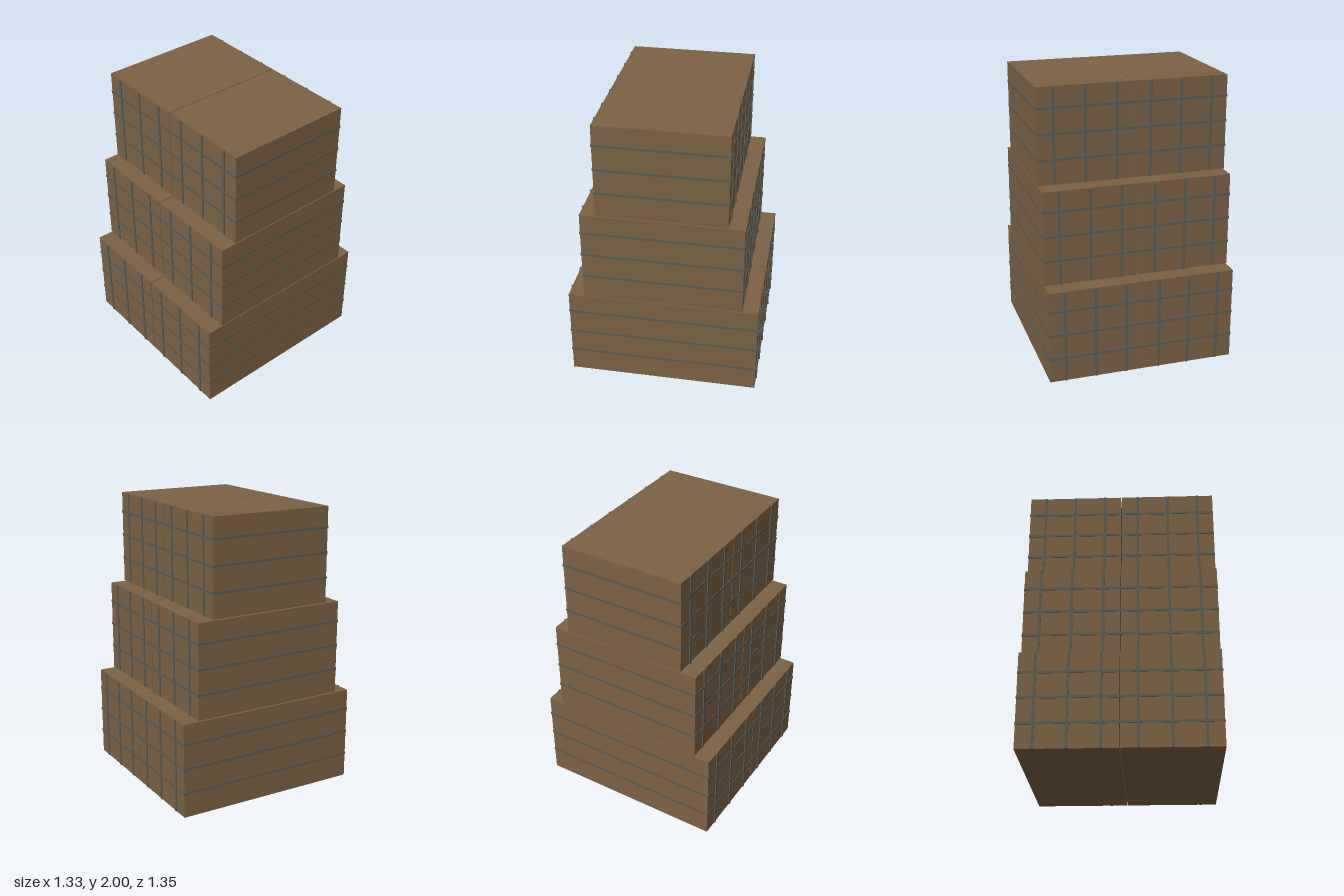
import * as THREE from 'three';

const wood = new THREE.MeshStandardMaterial({ name: 'brown board', color: 0x7d6245 });
const steel = new THREE.MeshStandardMaterial({ name: 'grey strap', color: 0x5b5d54 });

const WIDTH = 0.659;      // crate width
const HEIGHT = 0.662;     // crate height
const PITCH = 0.669;      // tier spacing
const GAP = 0.003;        // half gap between the two columns
const STRAP = 0.018;      // strap width

function addBox(parent, name, material, size, position) {
  const mesh = new THREE.Mesh(new THREE.BoxGeometry(...size), material);
  mesh.name = name;
  mesh.position.set(...position);
  parent.add(mesh);
}

// One strapped crate standing on its own y = 0; side is +1 or -1
function createCrate(depth, side) {
  const crate = new THREE.Group();
  addBox(crate, 'crateBody', wood, [WIDTH, HEIGHT, depth], [0, HEIGHT / 2, 0]);

  // Horizontal straps wrap all four walls
  for (const y of [0.172, 0.346, 0.52]) {
    addBox(crate, 'horizontalStrap', steel, [WIDTH + 0.005, STRAP, depth + 0.008], [0, y, 0]);
  }

  // Vertical straps run up the front and back walls
  for (const x of [0.118, 0.334, 0.549]) {
    for (const face of [-1, 1]) {
      addBox(crate, 'verticalStrap', steel, [STRAP, HEIGHT - 0.002, 0.008],
        [side * (x - GAP - WIDTH / 2), HEIGHT / 2, face * (depth / 2 + 0.003)]);
    }
  }
  return crate;
}

export function createModel() {
  const model = new THREE.Group();
  model.name = 'steppedCrateStack';

  // Three tiers, each shallower than the one below, in two columns
  [1.334, 1.11, 0.89].forEach((depth, tier) => {
    for (const side of [-1, 1]) {
      const crate = createCrate(depth, side);
      crate.name = `${['bottom', 'middle', 'top'][tier]}${side > 0 ? 'Left' : 'Right'}Crate`;
      crate.position.set(side * (GAP + WIDTH / 2), tier * PITCH, 0);
      model.add(crate);
    }
  });
  return model;
}
